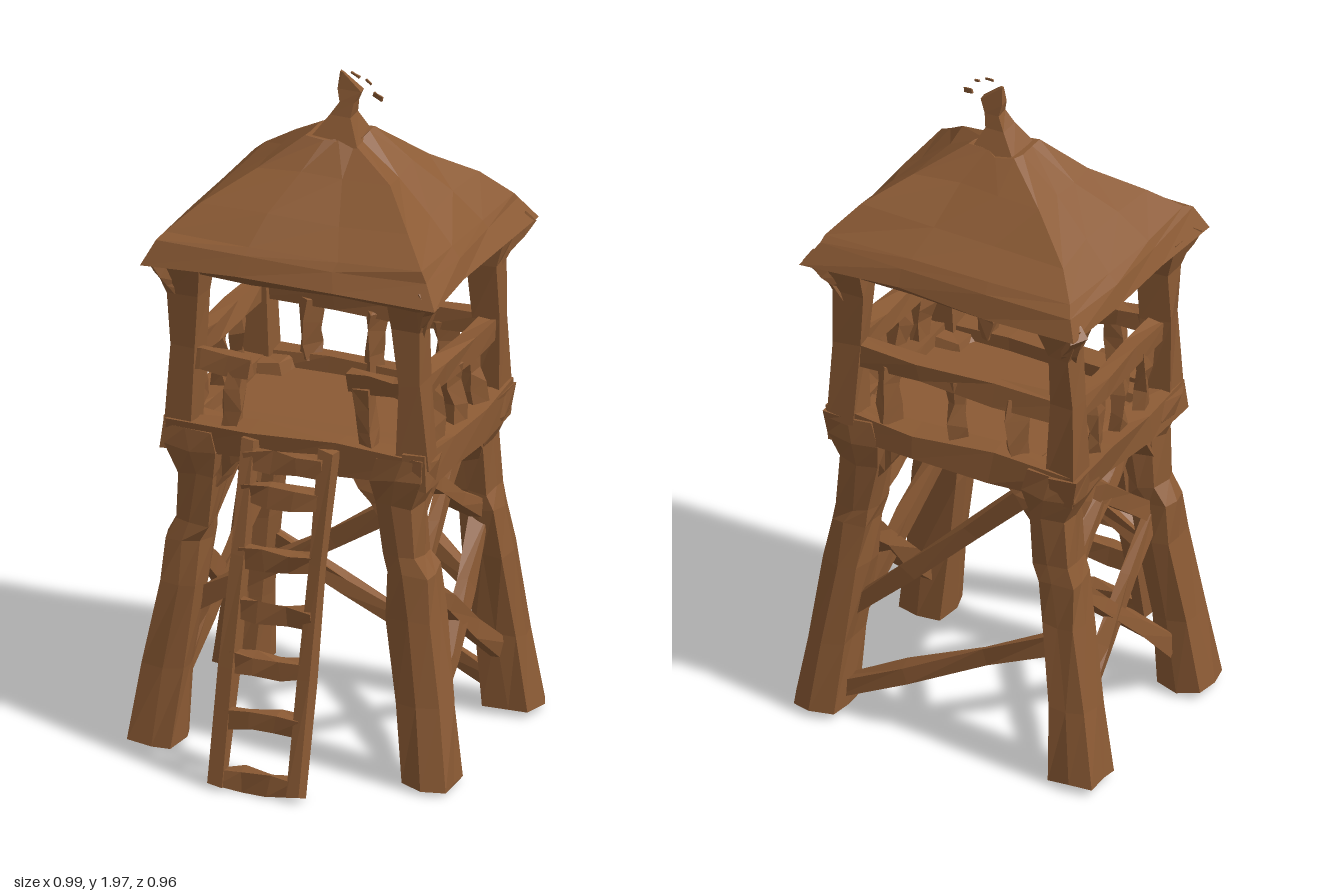
import * as THREE from 'three';

const wood = new THREE.MeshStandardMaterial({ color: 0x8b5a34 });
wood.name = 'brown wood';

// Seeded offset that depends only on position, so shared corners stay joined
function wobble(x, y, z, k) {
  const s = Math.sin(Math.round(x * 500) * 12.99 + Math.round(y * 500) * 78.23 + Math.round(z * 500) * 37.72 + k * 9.1) * 43758.5453;
  return (s - Math.floor(s)) * 2 - 1;
}

function facetedMesh(geometry, name, amount) {
  const p = geometry.attributes.position;
  for (let i = 0; i < p.count; i++) {
    const [x, y, z] = [p.getX(i), p.getY(i), p.getZ(i)];
    p.setXYZ(i, x + wobble(x, y, z, 1) * amount, Math.max(0.005, y + wobble(x, y, z, 2) * amount), z + wobble(x, y, z, 3) * amount);
  }
  const flat = geometry.toNonIndexed();
  flat.computeVertexNormals();
  const mesh = new THREE.Mesh(flat, wood);
  mesh.name = name;
  return mesh;
}

// Hewn beam between two points
function beam(a, b, w, h, name, amount = 0.009) {
  const from = new THREE.Vector3(...a), to = new THREE.Vector3(...b);
  const g = new THREE.BoxGeometry(w, h, from.distanceTo(to), 1, 1, 3);
  const o = new THREE.Object3D();
  o.position.copy(from).add(to).multiplyScalar(0.5);
  o.lookAt(to);
  o.updateMatrix();
  g.applyMatrix4(o.matrix);
  return facetedMesh(g, name, amount);
}

// Rectangular rings [x, y, z, halfX, halfZ] joined from bottom to top;
// n points per side, corners drawn in by the corner factor
function loft(sections, n, name, amount, corner = 1) {
  const pos = [], idx = [], count = 4 * n;
  for (const [cx, y, cz, hx, hz] of sections) {
    for (let j = 0; j < count; j++) {
      const side = Math.floor(j / n), t = (j % n) / n * 2 - 1, f = j % n ? 1 : corner;
      const [u, v] = [[1, -t], [-t, -1], [-1, t], [t, 1]][side];
      pos.push(cx + u * hx * f, y, cz + v * hz * f);
    }
  }
  const last = (sections.length - 1) * count;
  for (let i = 0; i < sections.length - 1; i++) {
    for (let j = 0; j < count; j++) {
      const k = (j + 1) % count, a = i * count + j, b = i * count + k;
      idx.push(a, b, b + count, a, b + count, a + count);
    }
  }
  for (let j = 1; j < count - 1; j++) idx.push(0, j + 1, j, last, last + j, last + j + 1);
  const g = new THREE.BufferGeometry();
  g.setAttribute('position', new THREE.Float32BufferAttribute(pos, 3));
  g.setIndex(idx);
  return facetedMesh(g, name, amount);
}

export function createModel() {
  const model = new THREE.Group();
  model.name = 'watchtower';
  const tower = new THREE.Group();
  tower.name = 'tower';
  tower.position.z = -0.1;
  model.add(tower);
  const add = (...m) => tower.add(...m);

  for (const sx of [-1, 1]) {
    for (const sz of [-1, 1]) {
      // Splayed legs with flared heads; one has a thicker lower half
      const thick = sx > 0 && sz > 0 ? 0.012 : 0;
      const leg = [
        [0.41, 0.03, 0.302, 0.078, 0.078],
        [0.385, 0.25, 0.285, 0.066 + thick, 0.066],
        [0.348, 0.5, 0.265, 0.064 + thick, 0.064],
        [0.335, 0.63, 0.257, 0.062 + thick, 0.062],
        [0.315, 0.68, 0.252, 0.06, 0.058],
        [0.298, 0.83, 0.248, 0.066, 0.064],
        [0.31, 0.91, 0.242, 0.095, 0.085],
        [0.325, 0.975, 0.25, 0.082, 0.075]];
      add(loft(leg.map(([x, y, z, a, b]) => [sx * x, y, sz * z, a, b]), 2, 'leg', 0.009, 0.86));

      // Roof posts, widening under the eaves
      const post = [
        [0.35, 0.95, 0.27, 0.047, 0.043], [0.345, 1.2, 0.265, 0.038, 0.036],
        [0.34, 1.36, 0.265, 0.043, 0.038], [0.35, 1.48, 0.275, 0.072, 0.062]];
      add(loft(post.map(([x, y, z, a, b]) => [sx * x, y, sz * z, a, b]), 1, 'roofPost', 0.01));
      // Bracket reaching the eave corner
      add(beam([sx * 0.35, 1.35, sz * 0.27], [sx * 0.42, 1.48, sz * 0.34], 0.04, 0.04, 'eaveBracket'));
      // Knees under the deck
      add(beam([sx * 0.27, 0.8, sz * 0.26], [sx * 0.18, 0.92, sz * 0.26], 0.06, 0.05, 'deckKnee'));
      add(beam([sx * 0.32, 0.8, sz * 0.2], [sx * 0.34, 0.92, sz * 0.12], 0.06, 0.05, 'deckKnee'));
    }

    // Side deck beam, rail and balusters
    add(beam([sx * 0.36, 0.938, -0.315], [sx * 0.36, 0.938, 0.315], 0.075, 0.098, 'sideDeckBeam', 0.012));
    add(beam([sx * 0.35, 1.17, -0.28], [sx * 0.35, 1.17, 0.28], 0.045, 0.065, 'sideRail'));
    for (const z of [-0.125, 0.01, 0.148]) {
      add(beam([sx * 0.355, 0.97, z - 0.008], [sx * 0.35, 1.16, z + 0.008], 0.035, 0.06, 'sideBaluster', 0.011));
    }

    // Two crossed pairs of side braces
    const braces = [[0.16, 0.6, 0.27, 0.24], [0.59, 0.89, 0.24, 0.17]];
    for (const [y0, y1, z0, z1] of braces) {
      const x0 = sx * (0.4 - y0 * 0.11), x1 = sx * (0.4 - y1 * 0.11);
      add(beam([x0, y0, z0 - 0.03], [x1, y1, -z1], 0.04, 0.05, 'sideBrace'));
      add(beam([x0, y0 + 0.02, -z0], [x1, y1, z1], 0.04, 0.05, 'sideBrace'));
    }

    // Short front rail beside the entrance
    add(beam([sx * 0.35, 1.17, 0.27], [sx * 0.15, 1.165, 0.265], 0.045, 0.06, 'frontRail'));
    add(beam([sx * 0.21, 0.97, 0.27], [sx * 0.19, 1.16, 0.265], 0.045, 0.05, 'frontBaluster'));
  }

  // Front and back deck beams and the floor
  for (const z of [-0.28, 0.28]) {
    add(beam([-0.39, 0.945, z], [0.39, 0.945, z], 0.07, 0.085, 'deckBeam', 0.012));
  }
  add(beam([0, 0.925, -0.27], [0, 0.925, 0.27], 0.7, 0.045, 'deckFloor', 0.006));

  // Back rail and balusters
  add(beam([-0.35, 1.17, -0.265], [0.35, 1.17, -0.265], 0.045, 0.065, 'backRail'));
  for (const x of [-0.19, 0, 0.21]) {
    add(beam([x, 0.97, -0.27], [x + 0.005, 1.16, -0.265], 0.055, 0.035, 'backBaluster', 0.011));
  }
  // Single diagonals on the front and back
  add(beam([-0.33, 0.43, 0.265], [0.31, 0.82, 0.245], 0.04, 0.055, 'frontBrace'));
  add(beam([-0.23, 0.87, -0.24], [0.34, 0.33, -0.275], 0.04, 0.055, 'backBrace'));
  add(beam([-0.34, 0.43, -0.275], [0.39, 0.07, -0.295], 0.04, 0.055, 'backBrace'));

  // Thatched roof: hollow underside, eave lip, ragged fringe, sagging slopes
  add(loft([
    [0, 1.7, 0, 0.03, 0.03], [0, 1.5, 0, 0.345, 0.28],
    [0, 1.435, 0.005, 0.37, 0.315], [0.002, 1.465, 0.005, 0.437, 0.372],
    [0, 1.525, 0, 0.41, 0.338], [0, 1.55, 0, 0.39, 0.315],
    [0, 1.62, 0, 0.315, 0.245], [0.01, 1.71, 0, 0.2, 0.14],
    [0.01, 1.79, 0, 0.07, 0.06]], 3, 'roof', 0.01));

  // Bent finial
  add(loft([
    [0.01, 1.775, 0, 0.075, 0.062], [0.02, 1.85, 0, 0.03, 0.03],
    [0.035, 1.89, 0, 0.022, 0.022], [0.04, 1.925, 0, 0.035, 0.014],
    [0.013, 1.975, 0, 0.006, 0.004]], 1, 'finial', 0.002));

  // Torn scraps of a pennant
  for (const [x, y, w, h] of [[0.06, 1.98, 0.03, 0.006], [0.1, 1.965, 0.02, 0.006], [0.128, 1.925, 0.03, 0.014]]) {
    add(beam([x - w / 2, y, 0.01], [x + w / 2, y - 0.008, 0.02], 0.004, h, 'pennantScrap', 0.001));
  }

  // Leaning ladder
  const ladderZ = y => 0.555 - (y - 0.02) * 0.235;
  for (const x of [-0.127, 0.108]) {
    add(beam([x, 0.025, ladderZ(0.025)], [x + 0.004, 0.975, ladderZ(0.975)], 0.04, 0.042, 'ladderRail', 0.007));
  }
  for (const y of [0.045, 0.21, 0.365, 0.51, 0.655, 0.83, 0.925]) {
    add(beam([-0.125, y, ladderZ(y)], [0.11, y + 0.005, ladderZ(y)], 0.036, 0.052, 'ladderRung', 0.009));
  }
  return model;
}
